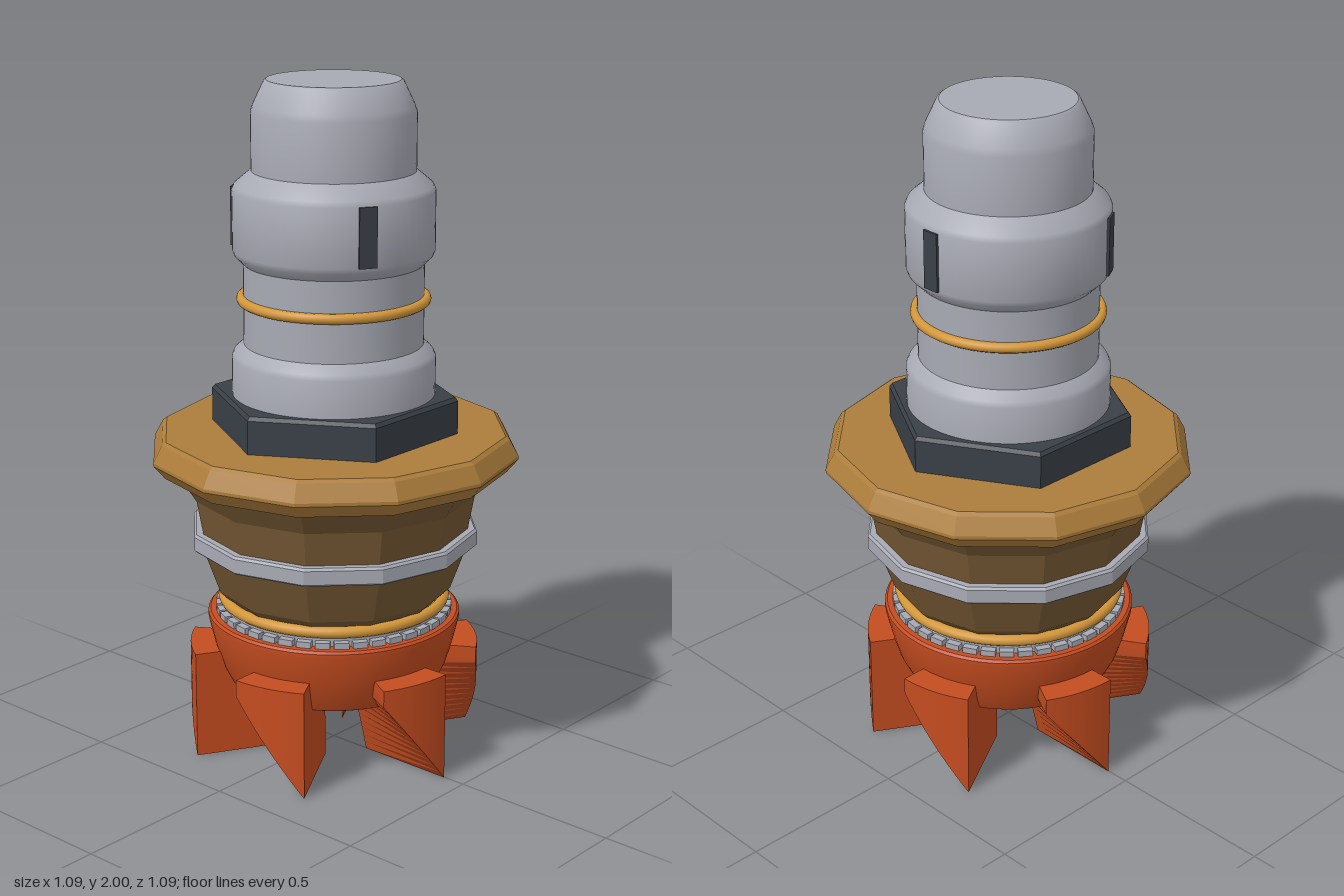
import * as THREE from 'three';
import { toCreasedNormals } from 'three/addons/utils/BufferGeometryUtils.js';

const paint = (name, color) => Object.assign(new THREE.MeshStandardMaterial({ color }), { name });

export function createModel() {
  const model = new THREE.Group();
  model.name = 'cutterTool';
  const steel = paint('steel grey', 0xa8aab4);
  const dark = paint('dark slate', 0x3a4047);
  const bronze = paint('bronze', 0xac7d3b);
  const brown = paint('dark bronze', 0x755833);
  const gold = paint('gold', 0xd3973a);
  const orange = paint('orange', 0xc44c20);

  const add = (name, geometry, material, parent = model) => {
    const mesh = new THREE.Mesh(geometry, material);
    mesh.name = name;
    parent.add(mesh);
    return mesh;
  };
  // Solid of revolution from [radius, height] pairs, bottom to top
  const turned = (profile, sides, crease) => toCreasedNormals(
    new THREE.LatheGeometry(profile.map(([r, y]) => new THREE.Vector2(r, y)), sides), crease);
  const ring = (name, radius, tube, y) => {
    const mesh = add(name, new THREE.TorusGeometry(radius, tube, 10, 64), gold);
    mesh.rotation.x = Math.PI / 2;
    mesh.position.y = y;
  };

  // Shaft with shoulder, neck and locking collar
  add('shaft', turned([
    [0, 1.08], [0.295, 1.08], [0.295, 1.205], [0.288, 1.22], [0.26, 1.245], [0.26, 1.48],
    [0.285, 1.505], [0.29, 1.52], [0.29, 1.69], [0.283, 1.705], [0.235, 1.745],
    [0.235, 1.91], [0.228, 1.93], [0.197, 1.995], [0.19, 2], [0, 2],
  ], 64, 0.6), steel);
  ring('shaftSealRing', 0.265, 0.015, 1.375);

  // Three dark keys set into the collar
  for (const degrees of [-30, 90, 210]) {
    const a = THREE.MathUtils.degToRad(degrees);
    const key = add('collarKey', new THREE.BoxGeometry(0.052, 0.17, 0.03), dark);
    key.position.set(0.281 * Math.sin(a), 1.605, 0.281 * Math.cos(a));
    key.rotation.y = a;
  }

  // Hexagonal nut with points on the sides
  add('hexNut', turned([
    [0, 0.98], [0.365, 0.98], [0.365, 1.085], [0.356, 1.096], [0, 1.096],
  ], 6, 0.01).rotateY(Math.PI / 6), dark);

  // Twelve-sided flange, body and belt
  add('flange', turned([
    [0, 0.88], [0.51, 0.88], [0.543, 0.92], [0.543, 0.93], [0.517, 0.978], [0.505, 0.987], [0, 0.987],
  ], 12, 0.01), bronze);
  add('body', turned([
    [0, 0.455], [0.31, 0.455], [0.325, 0.485], [0.35, 0.51], [0.4, 0.65],
    [0.4, 0.7], [0.418, 0.8], [0.458, 0.865], [0.46, 0.885], [0, 0.885],
  ], 12, 0.01), brown);
  add('belt', turned([
    [0.38, 0.645], [0.42, 0.645], [0.427, 0.651], [0.427, 0.692], [0.42, 0.699], [0.38, 0.699],
  ], 12, 0.01), steel);
  ring('bodySealRing', 0.327, 0.017, 0.473);

  // Ring of small bearing teeth below the body
  add('bearingRace', new THREE.CylinderGeometry(0.33, 0.33, 0.04, 64).translate(0, 0.44, 0), steel);
  const bearing = new THREE.Group();
  bearing.name = 'bearingTeeth';
  model.add(bearing);
  const toothGeometry = new THREE.BoxGeometry(0.043, 0.022, 0.03).translate(0, 0.438, 0.336);
  for (let i = 0; i < 40; i++) {
    add('bearingTooth', toothGeometry, steel, bearing).rotation.y = i * Math.PI / 20;
  }

  // Cutter hub
  add('cutterHub', turned([
    [0, 0.22], [0.305, 0.22], [0.315, 0.225], [0.338, 0.27], [0.356, 0.33],
    [0.375, 0.41], [0.375, 0.424], [0.368, 0.431], [0, 0.431],
  ], 64, 0.6), orange);

  // Blade: an angular wedge, upright in front, tapering to a radial edge below
  const bladeGeometry = new THREE.BoxGeometry(1, 1, 1, 8, 13, 1);
  const p = bladeGeometry.attributes.position;
  for (let i = 0; i < p.count; i++) {
    const y = (p.getY(i) + 0.5) * 0.325;
    const span = 0.51 * Math.min(1, y / 0.275) + 0.004;
    const angle = (p.getX(i) - 0.5) * span;
    const r = p.getZ(i) > 0 ? 0.43 : 0.13;
    p.setXYZ(i, r * Math.sin(angle), y, r * Math.cos(angle));
  }
  const blade = toCreasedNormals(bladeGeometry, 0.4);
  for (let i = 0; i < 6; i++) add('blade', blade, orange).rotation.y = i * Math.PI / 3;

  return model;
}
